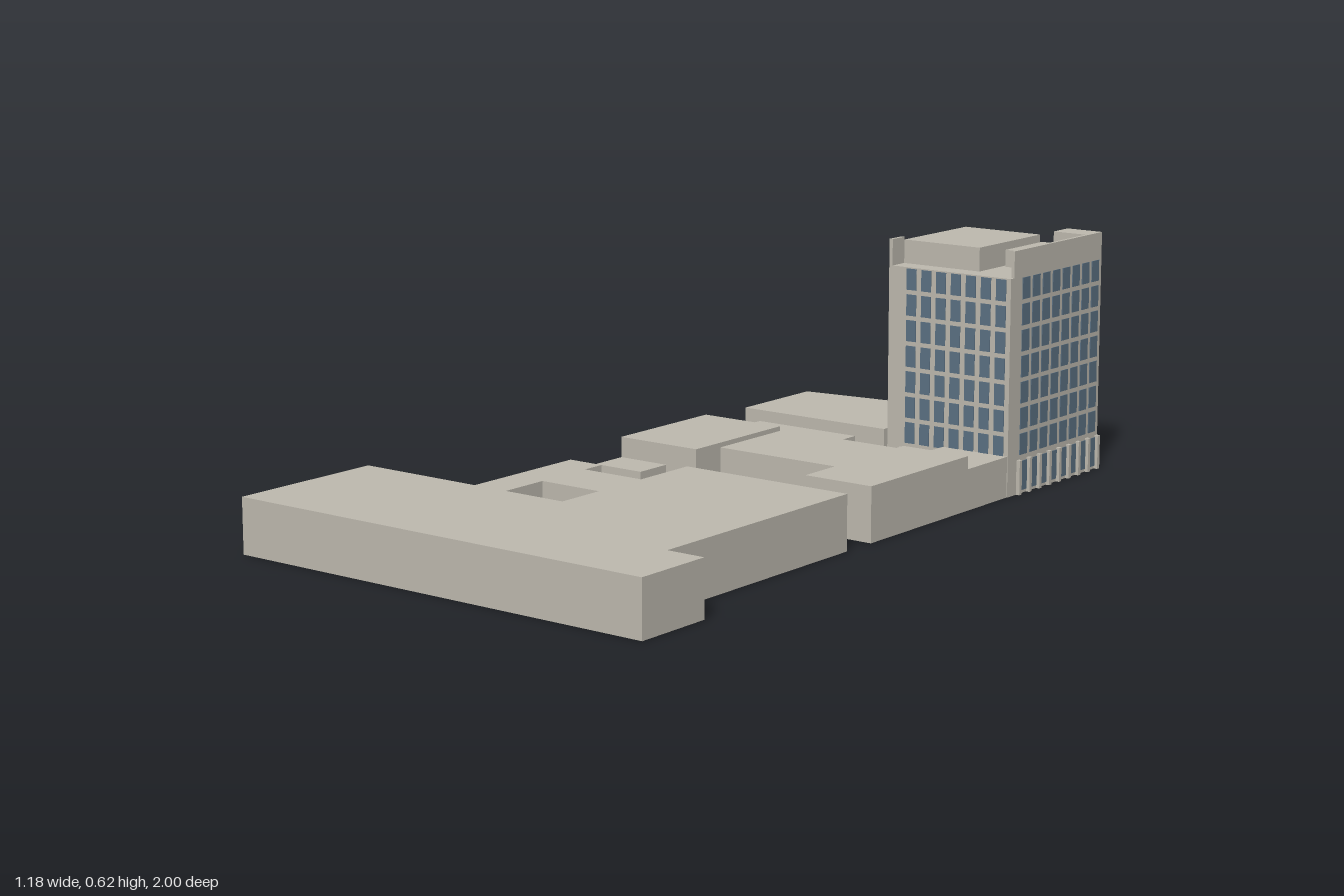
import * as THREE from 'three';

export function createModel() {
  const group = new THREE.Group();
  group.name = 'buildingComplex';
  const stone = new THREE.MeshStandardMaterial({ color: 0xbdb9ae, side: THREE.DoubleSide });
  stone.name = 'stone';
  const glass = new THREE.MeshStandardMaterial({ color: 0x5b7082 });
  glass.name = 'windowGlass';

  function add(name, geometry, material, parent = group) {
    const mesh = new THREE.Mesh(geometry, material);
    mesh.name = name;
    parent.add(mesh);
    return mesh;
  }

  // Box given by its limits on each axis
  function boxGeometry(x0, x1, y0, y1, z0, z1) {
    return new THREE.BoxGeometry(x1 - x0, y1 - y0, z1 - z0)
      .translate((x0 + x1) / 2, (y0 + y1) / 2, (z0 + z1) / 2);
  }
  const block = (name, ...limits) => add(name, boxGeometry(...limits), stone);

  // Hall standing on the ground, hollow and open underneath
  function hall(name, x0, x1, z0, z1, height) {
    const geometry = boxGeometry(x0, x1, 0, height, z0, z1);
    const index = Array.from(geometry.index.array);
    index.splice(18, 6); // bottom face
    geometry.setIndex(index);
    geometry.clearGroups();
    return add(name, geometry, stone);
  }

  // Front halls and the courtyard
  hall('frontHall', -0.592, 0.49, 0.585, 1, 0.137);
  hall('frontHallEnd', 0.49, 0.59, 0.79, 1, 0.137);
  hall('eastHall', 0.02, 0.49, 0.125, 0.585, 0.137);
  hall('courtyardWestWing', -0.4, -0.3, 0.062, 0.585, 0.085);
  hall('courtyardNorthWing', -0.3, 0.02, 0.125, 0.285, 0.085);
  hall('courtyardEastWing', -0.06, 0.02, 0.285, 0.585, 0.085);

  // Middle halls
  hall('passage', -0.318, -0.175, -0.038, 0.062, 0.085);
  hall('middleWestHall', -0.318, -0.08, -0.383, -0.038, 0.137);
  hall('middleHall', -0.08, 0.3, -0.398, -0.135, 0.125);
  hall('middleEastHall', 0.3, 0.49, -0.383, 0.028, 0.137);
  hall('westLink', -0.265, 0.04, -0.545, -0.383, 0.1);
  hall('centreLink', 0.04, 0.3, -0.545, -0.398, 0.085);
  hall('eastLink', 0.3, 0.49, -0.56, -0.383, 0.104);

  // Rear hall with a slanting back wall
  const rear = hall('rearHall', -0.312, 0.13, -0.82, -0.545, 0.13);
  const p = rear.geometry.attributes.position;
  for (let i = 0; i < p.count; i++) {
    if (p.getX(i) > 0 && p.getZ(i) < -0.7) p.setZ(i, -0.88);
  }
  rear.geometry.computeVertexNormals();
  add('rearHallWindow', boxGeometry(-0.315, -0.31, 0.005, 0.07, -0.8, -0.58), glass);
  const rearDoor = add('rearHallDoor', new THREE.BoxGeometry(0.06, 0.05, 0.005), glass);
  rearDoor.position.set(0.09, 0.026, -0.875);
  rearDoor.rotation.y = Math.atan2(0.06, 0.442);

  // Tower and its roof structures
  const X0 = 0.13, X1 = 0.492, Z0 = -0.99, Z1 = -0.56, ROOF = 0.55, TOP = 0.617;
  block('tower', X0, X1, 0, ROOF, Z0, Z1);
  block('penthouse', 0.14, 0.366, ROOF, 0.61, -0.895, -0.612);
  block('roofPlant', 0.376, 0.468, ROOF, 0.593, -0.887, -0.716);
  block('roofStairHead', 0.39, X1, ROOF, TOP, Z0, -0.922);
  block('eastParapet', 0.483, X1, ROOF, TOP, -0.922, -0.575);
  block('westParapet', X0, 0.14, ROOF, TOP, -0.612, Z1);

  // Facades: window grid, ground floor glazing and piers between the bays
  function facade(name, alongX, wall, out, start, pitch, columns, width, piers) {
    const side = new THREE.Group();
    side.name = name;
    group.add(side);
    const plate = (part, mat, c, w, y0, y1, depth) => {
      const a = Math.min(wall, wall + out * depth), b = Math.max(wall, wall + out * depth);
      const lo = c - w / 2, hi = c + w / 2;
      add(part, alongX ? boxGeometry(lo, hi, y0, y1, a, b) : boxGeometry(a, b, y0, y1, lo, hi), mat, side);
    };
    for (let c = 0; c < columns; c++) {
      const centre = start + pitch * c;
      for (let r = 0; r < 7; r++) {
        const top = 0.547 - 0.0656 * r;
        plate('window', glass, centre, width, top - 0.054, top, 0.002);
      }
      plate('groundWindow', glass, centre, width + 0.004, 0.008, 0.083, 0.002);
    }
    for (let i = 0; i < piers; i++) {
      plate('pier', stone, start + pitch * (i - 0.5), 0.011, 0, 0.088, 0.01);
    }
  }
  facade('frontFacade', true, Z1, 1, 0.199, 0.0442, 7, 0.029, 3);
  facade('backFacade', true, Z0, -1, 0.156, 0.0442, 7, 0.029, 8);
  facade('eastFacade', false, X1, 1, -0.959, 0.047, 8, 0.034, 9);
  facade('westFacade', false, X0, -1, -0.959, 0.047, 8, 0.034, 3);

  return group;
}
